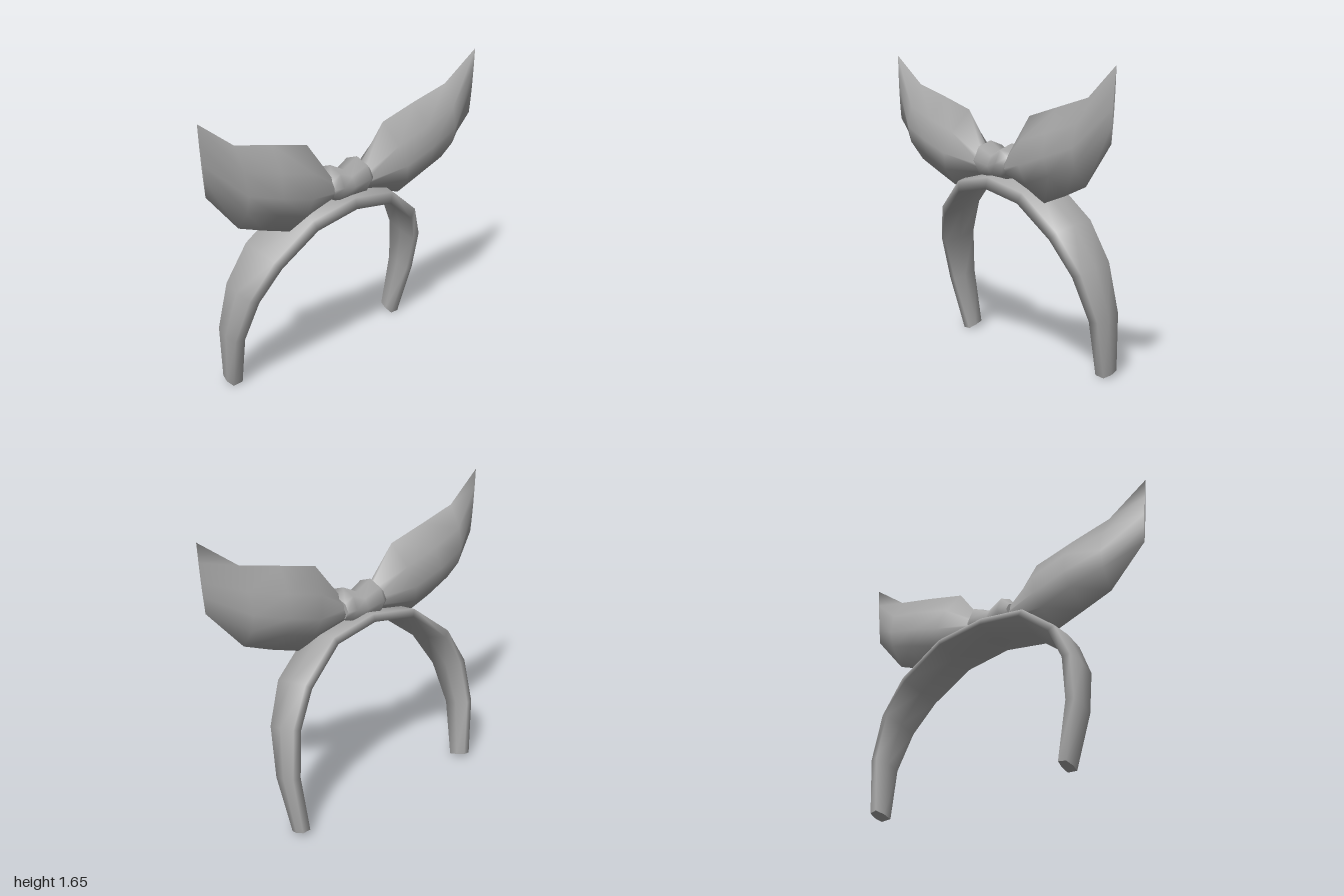
import * as THREE from 'three';

const gray = new THREE.MeshStandardMaterial({ color: 0xa8a8a8 });
gray.name = 'gray fabric';

// Closed, smooth skin over a row of rings with separate flat end caps
function loft(name, rings) {
  const n = rings[0].length;
  const points = rings.flat();
  const tris = [];
  for (let i = 0; i < rings.length - 1; i++) {
    for (let j = 0; j < n; j++) {
      const a = i * n + j, b = i * n + (j + 1) % n;
      tris.push([a, a + n, b], [b, a + n, b + n]);
    }
  }
  [rings[0], rings[rings.length - 1]].forEach((ring, end) => {
    const start = points.length;
    points.push(...ring.map((p) => p.clone()));
    for (let j = 1; j < n - 1; j++) {
      tris.push(end ? [start, start + j + 1, start + j] : [start, start + j, start + j + 1]);
    }
  });
  // Signed volume tells whether the faces point outwards
  const middle = points.reduce((s, p) => s.add(p), new THREE.Vector3()).divideScalar(points.length);
  let volume = 0;
  for (const t of tris) {
    const [a, b, c] = t.map((k) => points[k].clone().sub(middle));
    volume += a.dot(b.cross(c));
  }
  if (volume < 0) tris.forEach((t) => t.reverse());
  const geometry = new THREE.BufferGeometry().setFromPoints(points);
  geometry.setIndex(tris.flat());
  geometry.computeVertexNormals();
  const mesh = new THREE.Mesh(geometry, gray);
  mesh.name = name;
  return mesh;
}

// Tilted band, widest on top and tapering to both ends
function makeBand() {
  // x, y, front z, back z, rise of the back edge
  const half = [
    [0, 0.995, 0.175, -0.075, 0.05],
    [0.29, 0.945, 0.165, -0.09, 0.055],
    [0.52, 0.77, 0.12, -0.13, 0.05],
    [0.63, 0.57, 0.05, -0.16, 0.05],
    [0.667, 0.32, -0.035, -0.19, 0.04],
    [0.63, 0.008, -0.115, -0.215, 0.03],
  ];
  const path = [...half.slice(1).reverse().map(([x, ...r]) => [-x, ...r]), ...half];
  // position across the width, thickness
  const section = [[0, -0.035], [0.05, 0.025], [0.5, 0.035], [0.95, 0.025], [1, -0.02], [0.5, -0.035]];
  const rings = path.map(([x, y, front, back, rise], i) => {
    const p = path[Math.max(i - 1, 0)], q = path[Math.min(i + 1, path.length - 1)];
    const out = new THREE.Vector2(p[1] - q[1], q[0] - p[0]).normalize();
    return section.map(([w, t]) => new THREE.Vector3(
      x + out.x * t, y + out.y * t + rise * w, front + (back - front) * w));
  });
  return loft('headband', rings);
}

// Padded bow loop, ending in a sharp upright edge
function makeLoop(name, side) {
  // top x, top y, bottom x, bottom y, middle z, half depth
  const stations = [
    [0.09, 1.13, 0.09, 1.03, 0.075, 0.06],
    [0.28, 1.37, 0.41, 0.925, 0.088, 0.125],
    [0.52, 1.43, 0.59, 0.985, 0.09, 0.125],
    [0.77, 1.49, 0.76, 1.05, 0.1, 0.097],
    [1, 1.655, 0.97, 1.28, 0.12, 0.004],
  ];
  // height from bottom to top, depth
  const section = [[1, 0], [0.72, 0.75], [0.45, 1], [0.24, 0.8], [0, 0],
    [0.24, -0.8], [0.45, -1], [0.72, -0.75]];
  return loft(name, stations.map(([tx, ty, bx, by, z, depth]) => section.map(([h, d]) =>
    new THREE.Vector3(side * (bx + (tx - bx) * h), by + (ty - by) * h, z + d * depth))));
}

// Knot, pinched in the middle with flared rims
function makeKnot() {
  // x, middle y, half height, half depth
  const half = [[0, 1.085, 0.075, 0.095], [0.1, 1.108, 0.103, 0.112], [0.142, 1.1, 0.06, 0.085]];
  const stations = [...half.slice(1).reverse().map(([x, ...r]) => [-x, ...r]), ...half];
  return loft('bowKnot', stations.map(([x, y, height, depth]) =>
    Array.from({ length: 8 }, (_, k) => {
      const a = k * Math.PI / 4;
      return new THREE.Vector3(x, y + height * Math.cos(a), 0.07 + depth * Math.sin(a));
    })));
}

export function createModel() {
  const model = new THREE.Group();
  model.name = 'bowHeadband';
  model.add(makeBand(), makeLoop('leftBowLoop', 1), makeLoop('rightBowLoop', -1), makeKnot());
  return model;
}
